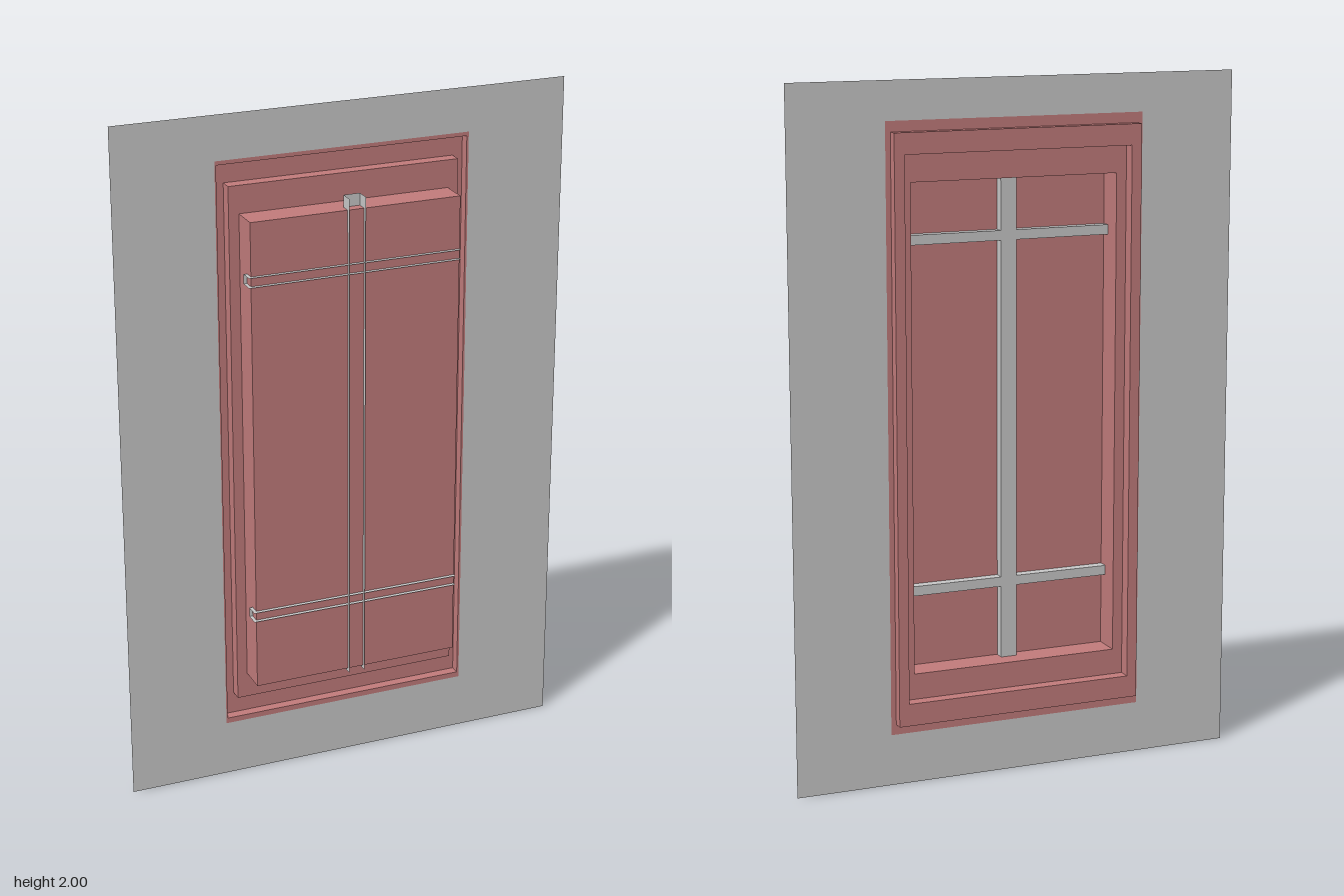
import * as THREE from 'three';

const grey = new THREE.MeshStandardMaterial({ color: 0xcccccc, side: THREE.DoubleSide, flatShading: true });
const red = new THREE.MeshStandardMaterial({ color: 0xc47d7d, side: THREE.DoubleSide, flatShading: true });

// Join successive cross-sections with quads; closed sections wrap around.
function loft(sections, closed) {
  const pos = [];
  for (let s = 0; s + 1 < sections.length; s++) {
    const a = sections[s], b = sections[s + 1], n = a.length;
    for (let i = 0; i < (closed ? n : n - 1); i++) {
      const j = (i + 1) % n;
      pos.push(...a[i], ...a[j], ...b[j], ...a[i], ...b[j], ...b[i]);
    }
  }
  const geo = new THREE.BufferGeometry();
  geo.setAttribute('position', new THREE.Float32BufferAttribute(pos, 3));
  geo.computeVertexNormals();
  return geo;
}

const rect = (w, y0, y1, z) => [[-w, y0, z], [w, y0, z], [w, y1, z], [-w, y1, z]];

export function createModel() {
  const model = new THREE.Group();
  const add = (name, geo, mat) => {
    const mesh = new THREE.Mesh(geo, mat);
    mesh.name = name;
    model.add(mesh);
    return mesh;
  };

  // Flat wall with a rectangular opening
  const wall = new THREE.Shape([[-0.667, 0], [0.667, 0], [0.667, 2], [-0.667, 2]].map(p => new THREE.Vector2(...p)));
  wall.holes.push(new THREE.Path([[-0.375, 0.165], [-0.375, 1.872], [0.375, 1.872], [0.375, 0.165]].map(p => new THREE.Vector2(...p))));
  add('wall', new THREE.ShapeGeometry(wall), grey).position.z = -0.036;

  // Stepped frame: flange, recessed groove, raised lip
  add('frame', loft([
    rect(0.385, 0.15, 1.89, -0.038),
    rect(0.37, 0.18, 1.86, -0.038),
    rect(0.37, 0.18, 1.86, -0.067),
    rect(0.34, 0.245, 1.80, -0.067),
    rect(0.34, 0.245, 1.80, -0.03),
    rect(0.31, 0.32, 1.72, -0.03),
  ], true), red);

  // Hollow box, open at the back
  add('boxSides', loft([rect(0.31, 0.32, 1.72, -0.03), rect(0.31, 0.32, 1.72, 0.054)], true), red);
  add('frontPanel', new THREE.PlaneGeometry(0.62, 1.40).translate(0, 1.02, 0.054), red);

  // Bars are channels with an open front, set through the front panel
  const zFront = 0.066, zBack = 0.025;
  const channel = (h) => [[-h, zFront], [-h, zBack], [h, zBack], [h, zFront]];

  add('verticalBar', loft([0.31, 1.755].map(y =>
    channel(0.024).map(([x, z]) => [x - 0.003, y, z])), false), grey);

  for (const [name, y] of [['upperBar', 1.553], ['lowerBar', 0.547]]) {
    add(name, loft([0.31, -0.32].map(x =>
      channel(0.014).map(([dy, z]) => [x, y + dy, z])), false), grey);
  }

  return model;
}
